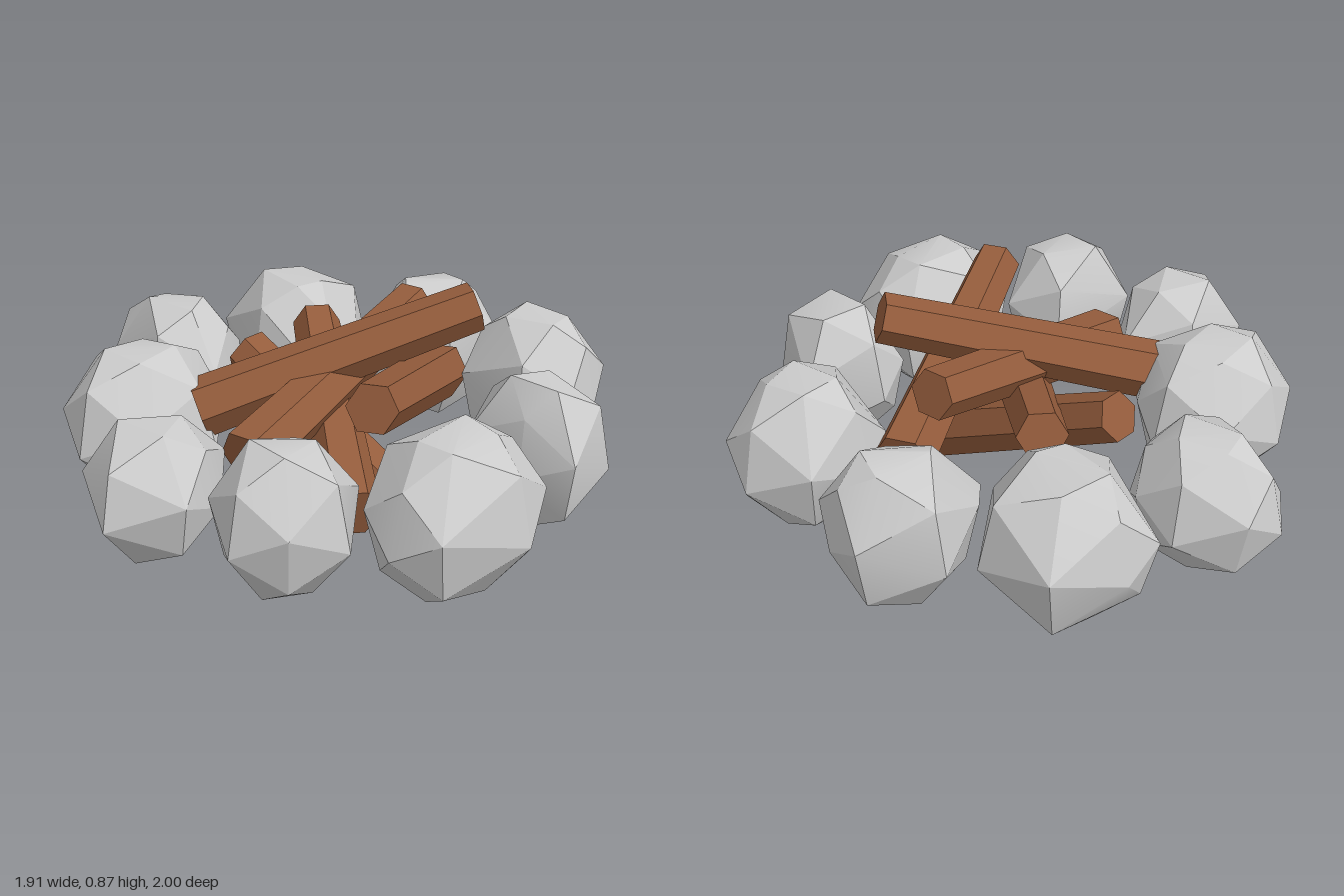
import * as THREE from 'three';
import { ConvexGeometry } from 'three/addons/geometries/ConvexGeometry.js';
import { toCreasedNormals } from 'three/addons/utils/BufferGeometryUtils.js';

const stoneMaterial = new THREE.MeshStandardMaterial({ color: 0xcccccc });
const woodMaterial = new THREE.MeshStandardMaterial({ color: 0x945c3c });

// faceted round stone: a zigzag girdle following its outline (x, z pairs),
// with shoulders and a small cap above and below, alternating around it
function stone(bottom, top, outline) {
  const girdle = [];
  for (let i = 0; i < outline.length; i += 2) girdle.push(new THREE.Vector2(outline[i], outline[i + 1]));
  const center = new THREE.Box2().setFromPoints(girdle).getCenter(new THREE.Vector2());
  const half = (top - bottom) / 2;
  const points = [];
  girdle.forEach((p, i) => {
    const q = p.clone().sub(center);
    const up = i % 2 ? -1 : 1;
    const tilt = 0.04 * Math.cos(i * 1.3);
    const rows = [[1, 0.18], [0.43, 0.96 + tilt], [0.82, -0.65 + tilt]];
    for (const [r, y] of rows) points.push(new THREE.Vector3(q.x * r, up * half * y, q.y * r));
  });
  const geometry = toCreasedNormals(new ConvexGeometry(points), 0.4);
  const mesh = new THREE.Mesh(geometry, stoneMaterial);
  mesh.position.set(center.x, bottom + half, center.y);
  mesh.name = 'stone';
  return mesh;
}

// six-sided log tapering from its low end to its high end, flat side up
function log(low, high) {
  const from = new THREE.Vector3(...low);
  const to = new THREE.Vector3(...high);
  const along = to.clone().sub(from);
  const geometry = new THREE.CylinderGeometry(0.086, 0.105, along.length(), 6).toNonIndexed();
  geometry.computeVertexNormals();
  along.normalize();
  const side = new THREE.Vector3().crossVectors(along, new THREE.Vector3(0, 1, 0)).normalize();
  const across = new THREE.Vector3().crossVectors(along, side);
  const mesh = new THREE.Mesh(geometry, woodMaterial);
  // local y runs along the log, local z (a corner) lies level
  mesh.quaternion.setFromRotationMatrix(new THREE.Matrix4().makeBasis(across, along, side));
  mesh.position.copy(from).add(to).multiplyScalar(0.5);
  mesh.name = 'log';
  return mesh;
}

export function createModel() {
  const model = new THREE.Group();
  model.name = 'campfire';

  // ring of stones, starting at the back and going round
  const ring = new THREE.Group();
  ring.name = 'stoneRing';
  ring.add(
    stone(0.14, 0.68, [-0.455, -0.79, -0.36, -0.88, -0.12, -1, 0.1, -0.81, 0.06, -0.52, -0.02, -0.43, -0.15, -0.4, -0.33, -0.5]),
    stone(0.15, 0.68, [0.1, -0.62, 0.19, -0.855, 0.46, -0.875, 0.56, -0.74, 0.605, -0.6, 0.41, -0.425, 0.1, -0.51]),
    stone(0.14, 0.69, [0.64, -0.51, 0.87, -0.45, 0.955, -0.29, 0.89, -0.1, 0.79, 0, 0.6, 0.04, 0.43, -0.22, 0.47, -0.34]),
    stone(0.15, 0.67, [0.41, 0.24, 0.47, 0.11, 0.73, 0.05, 0.87, 0.34, 0.725, 0.52, 0.56, 0.42]),
    stone(0.14, 0.67, [0.41, 0.39, 0.56, 0.49, 0.62, 0.63, 0.55, 0.84, 0.27, 0.995, 0.12, 0.92, 0.05, 0.77, 0.08, 0.58]),
    stone(0.17, 0.67, [-0.42, 0.71, -0.15, 0.49, 0.04, 0.64, 0.01, 0.9, -0.17, 0.985, -0.35, 0.93]),
    stone(0.19, 0.64, [-0.83, 0.51, -0.64, 0.295, -0.39, 0.36, -0.39, 0.61, -0.48, 0.77, -0.735, 0.77]),
    stone(0.16, 0.68, [-0.96, 0.07, -0.9, -0.14, -0.7, -0.245, -0.47, -0.17, -0.42, -0.03, -0.43, 0.2, -0.66, 0.32, -0.88, 0.27]),
    stone(0.17, 0.66, [-0.85, -0.52, -0.85, -0.63, -0.73, -0.715, -0.5, -0.7, -0.39, -0.56, -0.38, -0.42, -0.46, -0.24, -0.68, -0.25]),
  );
  model.add(ring);

  // crossed logs: low end, high end
  const pile = new THREE.Group();
  pile.name = 'logPile';
  [
    [[-0.49, 0.495, 0.13], [0.45, 0.795, -0.035]],
    [[-0.315, 0.45, 0.43], [0.26, 0.69, -0.34]],
    [[0.36, 0.43, -0.33], [0.08, 0.69, 0.565]],
    [[0.015, 0.3, 0.52], [-0.095, 0.59, -0.42]],
    [[0.325, 0.08, 0.345], [-0.345, 0.55, -0.245]],
  ].forEach(([low, high]) => pile.add(log(low, high)));
  model.add(pile);

  return model;
}
